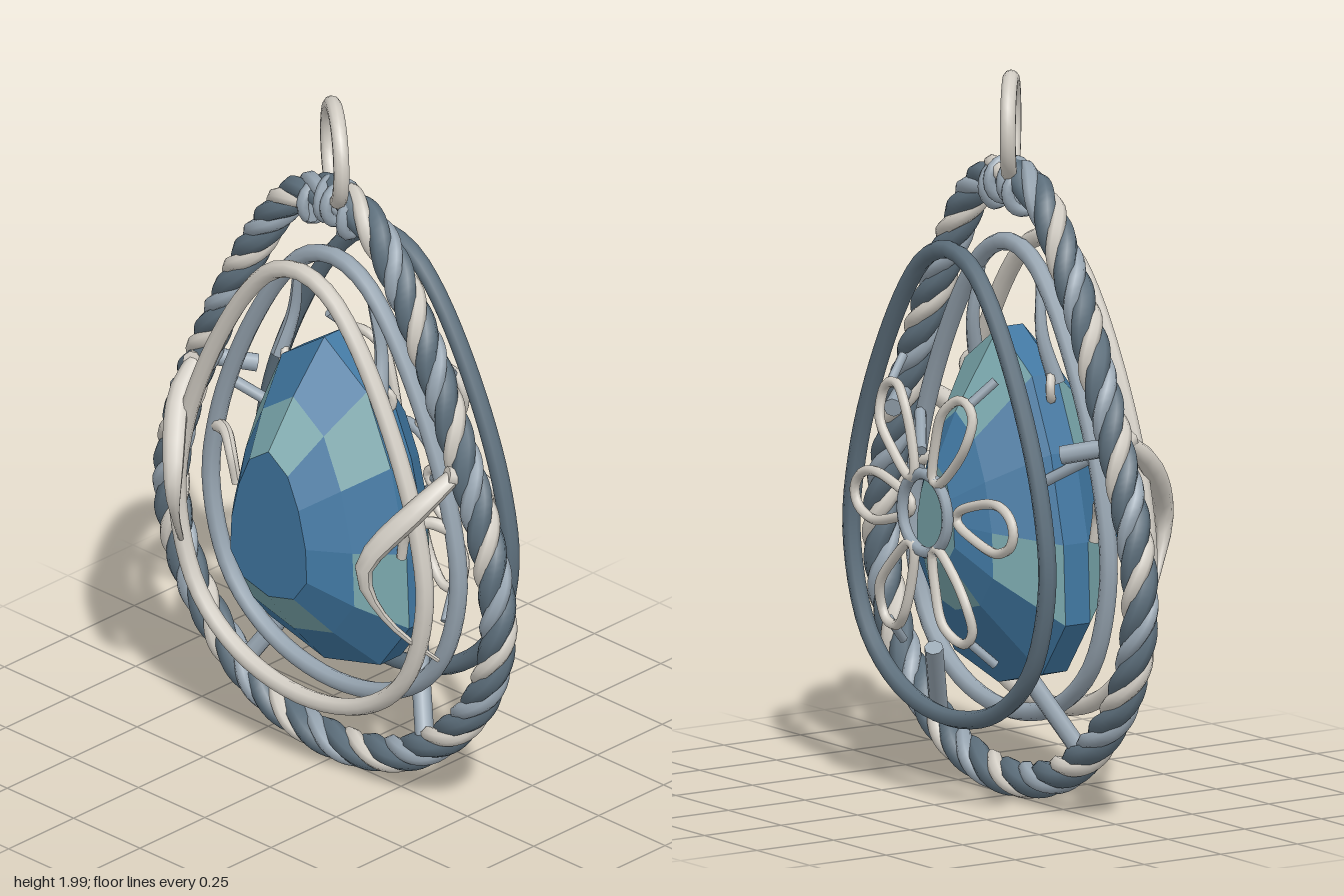
import * as THREE from 'three';

const mat = (name, color, side = THREE.FrontSide) => {
  const m = new THREE.MeshStandardMaterial({ color, side });
  m.name = name;
  return m;
};
const V = (x, y, z = 0) => new THREE.Vector3(x, y, z);

// Mirrored half outline (top to bottom, x >= 0), counter-clockwise from the front
const mirrorOutline = (half) => {
  const left = half.map(([x, y]) => [-x, y]);
  return [...left, ...half.slice(1, -1).reverse()];
};
const dropCurve = (half, z) =>
  new THREE.CatmullRomCurve3(mirrorOutline(half).map(([x, y]) => V(x, y, z)), true, 'centripetal');

const ROPE = [[0, 1.72], [0.14, 1.67], [0.28, 1.49], [0.44, 1.18], [0.58, 0.84], [0.615, 0.6], [0.53, 0.35], [0.29, 0.13], [0, 0.06]];
const RING = [[0, 1.53], [0.1, 1.5], [0.2, 1.4], [0.345, 1.15], [0.44, 0.89], [0.465, 0.67], [0.39, 0.43], [0.23, 0.295], [0, 0.245]];
const GEM = [[0, 1.3], [0.16, 1.19], [0.25, 0.99], [0.31, 0.75], [0.32, 0.53], [0.21, 0.38], [0, 0.325]];

// One strand wound around the rope's centre line
class Strand extends THREE.Curve {
  constructor(path, turns, phase, offset) {
    super();
    Object.assign(this, { path, turns, phase, offset });
  }
  getPoint(t, target = V(0, 0)) {
    const u = t % 1;
    const p = this.path.getPointAt(u), d = this.path.getTangentAt(u);
    const a = t * this.turns * Math.PI * 2 + this.phase, r = this.offset;
    return target.set(p.x + d.y * r * Math.cos(a), p.y - d.x * r * Math.cos(a), p.z - r * Math.sin(a));
  }
}

// Tube whose radius runs from r0 to r1, optionally flattened by moving its rings
function taperedTube(points, radiusAt, segs = 14, sides = 8) {
  const curve = new THREE.CatmullRomCurve3(points);
  const g = new THREE.TubeGeometry(curve, segs, 1, sides);
  const pos = g.attributes.position, v = V(0, 0);
  for (let i = 0; i < pos.count; i++) {
    const t = Math.floor(i / (sides + 1)) / segs, c = curve.getPointAt(t);
    v.fromBufferAttribute(pos, i).sub(c).multiplyScalar(radiusAt(t)).add(c);
    pos.setXYZ(i, v.x, v.y, v.z);
  }
  g.computeVertexNormals();
  return g;
}

export function createModel() {
  const root = new THREE.Group();
  root.name = 'pendant';
  const silver = mat('paleSilver', 0xd3cec5, THREE.DoubleSide);
  const steel = mat('blueSteel', 0x97a5b1, THREE.DoubleSide);
  const dark = mat('darkSteel', 0x5d6f7c);
  const blue = mat('gemBlue', 0x3f76a0);
  const teal = mat('gemTeal', 0x78a5aa);

  const add = (name, geo, material, parent = root) => {
    const m = new THREE.Mesh(geo, material);
    m.name = name;
    parent.add(m);
    return m;
  };
  const rod = (name, a, b, r, material, parent = root) => {
    const m = add(name, new THREE.CylinderGeometry(r, r, a.distanceTo(b), 8), material, parent);
    m.position.copy(a).add(b).multiplyScalar(0.5);
    m.quaternion.setFromUnitVectors(V(0, 1), b.clone().sub(a).normalize());
    return m;
  };

  // Twisted rope frame
  const rope = new THREE.Group();
  rope.name = 'ropeFrame';
  root.add(rope);
  const ropePath = dropCurve(ROPE, 0);
  ropePath.arcLengthDivisions = 600;
  [[dark, 0.031, 0.021], [silver, 0.023, 0.029], [dark, 0.031, 0.021], [steel, 0.024, 0.028]].forEach(([m, r, off], i) => {
    const strand = new Strand(ropePath, 14, i * Math.PI / 2, off);
    add('ropeStrand', new THREE.TubeGeometry(strand, 280, r, 7, true), m, rope);
  });

  // Hanging ring and the wire wraps below it
  const bail = add('hangingRing', new THREE.TorusGeometry(0.132, 0.022, 10, 36), silver);
  bail.position.set(0, 1.845, 0);
  bail.rotation.y = -0.66;
  [-0.065, -0.022, 0.022, 0.065].forEach((x, i) => {
    const w = add('wireWrap', new THREE.TorusGeometry(0.052, 0.018, 7, 18), steel);
    w.position.set(x, 1.71 - Math.abs(x) * 0.5, 0);
    w.rotation.set(0, Math.PI / 2 + (i % 2 ? 0.25 : -0.1), 0);
  });
  for (const s of [-1, 1])
    rod('wireEnd', V(s * 0.065, 1.7, 0.03), V(s * 0.06, 1.63, 0.03), 0.018, steel);

  // Three teardrop rings
  [['frontRing', 0.13, silver], ['middleRing', 0, steel], ['backRing', -0.2, dark]].forEach(([name, z, m]) =>
    add(name, new THREE.TubeGeometry(dropCurve(RING, z), 72, 0.025, 8, true), m));

  // Faceted gem: rings of the outline scaled about its heart, back to front
  const outline = mirrorOutline(GEM), n = outline.length, cy = 0.81;
  const levels = [[0.28, -0.245], [0.56, -0.18], [1, -0.04], [1, 0.04], [0.72, 0.16], [0.45, 0.255]];
  const rings = levels.map(([s, z]) => outline.map(([x, y]) => V(x * s, cy + (y - cy) * s, z)));
  const tealFacets = [[5], [0, 3], [], [1, 3], [0, 5]];
  const faces = { blue: [], teal: [] };
  const tri = (list, ...pts) => pts.forEach((p) => list.push(p.x, p.y, p.z));
  for (let k = 0; k < levels.length - 1; k++) {
    for (let i = 0; i < n; i++) {
      const j = (i + 1) % n, half = Math.min(i, n - 1 - i);
      const list = tealFacets[k].includes(half) ? faces.teal : faces.blue;
      const a = rings[k][i], b = rings[k][j], c = rings[k + 1][j], d = rings[k + 1][i];
      tri(list, a, b, c);
      tri(list, a, c, d);
    }
  }
  const front = rings[rings.length - 1], back = rings[0];
  for (let i = 1; i < n - 1; i++) {
    tri(faces.blue, front[0], front[i], front[i + 1]);
    tri(faces.teal, back[0], back[i + 1], back[i]);
  }
  for (const [key, m] of [['blue', blue], ['teal', teal]]) {
    const g = new THREE.BufferGeometry();
    g.setAttribute('position', new THREE.Float32BufferAttribute(faces[key], 3));
    g.computeVertexNormals();
    add(key === 'blue' ? 'gemBody' : 'gemAccentFacets', g, m);
  }

  // Wire flower on the back
  const flower = new THREE.Group();
  flower.name = 'backFlower';
  flower.position.y = 0.815;
  root.add(flower);
  for (let i = 0; i < 6; i++) {
    const side = i % 3 === 0, z = side ? -0.25 : -0.285, tipZ = side ? -0.25 : -0.272;
    const pts = [[0.11, 0.012, z], [0.2, 0.05, z], [0.3, 0.066, z], [0.36, 0.04, tipZ], [0.378, 0, tipZ],
      [0.36, -0.04, tipZ], [0.3, -0.066, z], [0.2, -0.05, z], [0.11, -0.012, z]].map((p) => V(...p));
    const petal = add('petal', new THREE.TubeGeometry(new THREE.CatmullRomCurve3(pts, true), 40, 0.014, 7, true), silver, flower);
    petal.rotation.z = i * Math.PI / 3;
    if (!side) {
      const a = i * Math.PI / 3, c = Math.cos(a), s = Math.sin(a);
      rod('petalPost', V(c * 0.37, s * 0.37, -0.27), V(c * 0.44, s * 0.45, -0.2), 0.013, steel, flower);
    }
  }
  add('flowerCentreRing', new THREE.TorusGeometry(0.108, 0.016, 8, 28), steel, flower).position.z = -0.28;

  // Mirrored claws, struts and gem prongs
  for (const s of [-1, 1]) {
    const P = (x, y, z) => V(s * x, y, z);
    add('claw', taperedTube([P(0.49, 1.06, 0.03), P(0.46, 0.99, 0.13), P(0.36, 0.81, 0.255), P(0.37, 0.72, 0.24), P(0.41, 0.61, 0.18), P(0.48, 0.51, 0.09)],
      (t) => 0.022 + 0.016 * Math.sin(Math.PI * Math.min(1, t * 1.5)) - 0.016 * t), silver);
    rod('clawRoot', P(0.51, 1.04, 0), P(0.48, 1.06, 0.06), 0.026, silver);
    rod('sideStrut', P(0.5, 1.05, 0), P(0.4, 1.02, -0.11), 0.026, steel);
    rod('lowerStrut', P(0.34, 0.18, 0), P(0.22, 0.39, -0.1), 0.026, steel);
    add('upperProng', taperedTube([P(0.14, 1.44, 0), P(0.165, 1.3, -0.01), P(0.19, 1.17, 0.02)],
      (t) => 0.012 + 0.012 * t), steel);
    const hook = add('upperHook', new THREE.TorusGeometry(0.035, 0.013, 7, 16), silver);
    hook.position.set(s * 0.18, 1.16, 0.01);
    hook.rotation.y = s * 0.7;
    add('sideProng', taperedTube([P(0.45, 0.86, 0), P(0.38, 0.87, 0.03), P(0.33, 0.83, 0.06), P(0.31, 0.75, 0.06)],
      (t) => 0.02 - 0.006 * t), silver);
    rod('rearProng', P(0.4, 1.0, -0.02), P(0.28, 0.92, -0.1), 0.016, steel);
  }
  return root;
}
